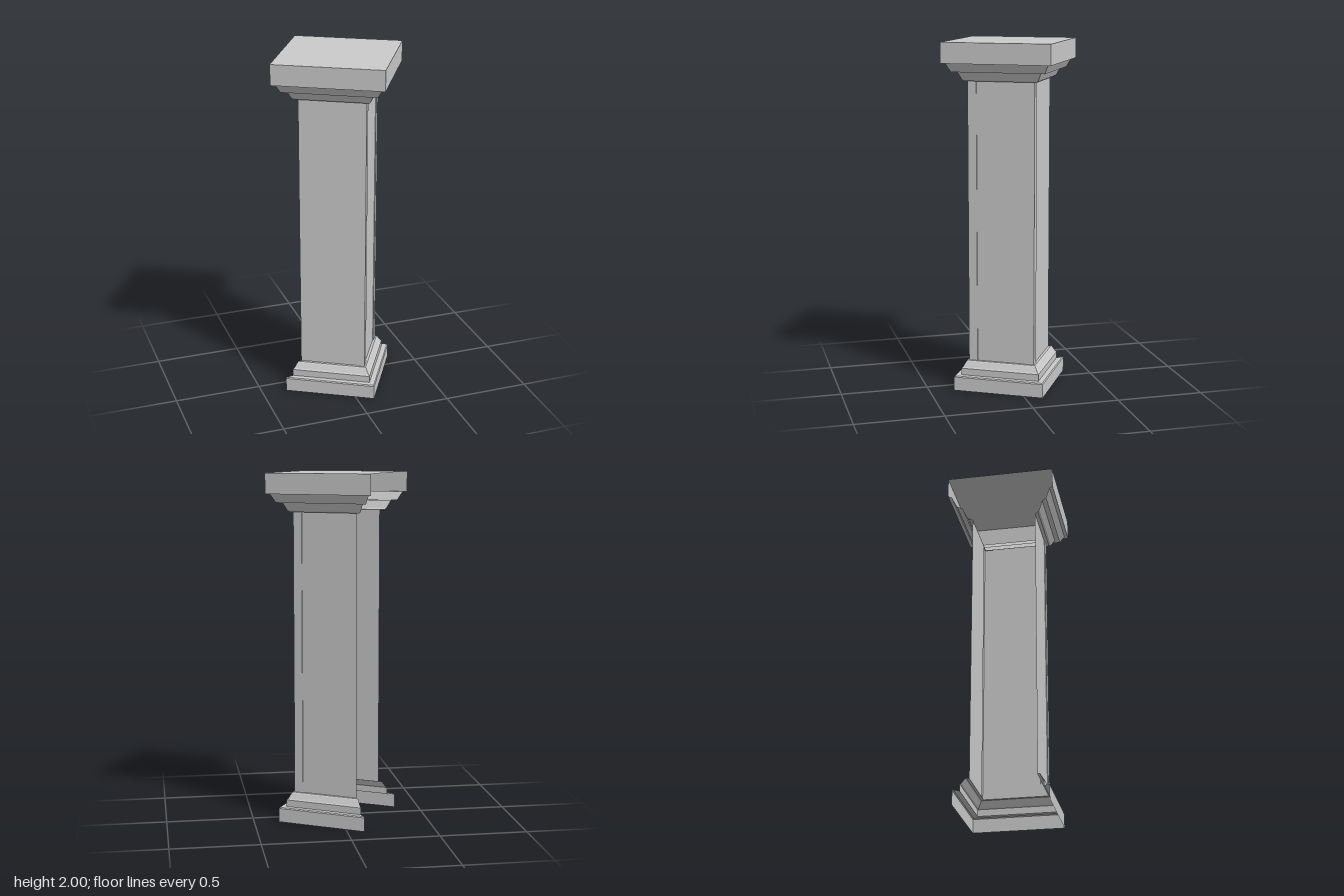
import * as THREE from 'three';

const material = new THREE.MeshStandardMaterial({ color: 0xcccccc, flatShading: true, side: THREE.DoubleSide });

// Skin a stack of open rings (each a list of [x, y, z]), bottom to top
function skin(name, rings) {
  const pos = [];
  for (let i = 0; i < rings.length - 1; i++) {
    for (let j = 0; j < rings[i].length - 1; j++) {
      const a = rings[i][j], b = rings[i][j + 1];
      const c = rings[i + 1][j + 1], d = rings[i + 1][j];
      pos.push(...a, ...b, ...c, ...a, ...c, ...d);
    }
  }
  const geometry = new THREE.BufferGeometry();
  geometry.setAttribute('position', new THREE.Float32BufferAttribute(pos, 3));
  geometry.computeVertexNormals();
  const mesh = new THREE.Mesh(geometry, material);
  mesh.name = name;
  return mesh;
}

// Mitred moulding round three sides; profile is [half width, height]
const moulding = (name, profile) => skin(name, profile.map(
  ([h, y]) => [[-h, y, h], [h, y, h], [h, y, -h], [-h, y, -h]]));

export function createModel() {
  const group = new THREE.Group();
  group.name = 'squareColumn';

  // Base
  group.add(moulding('plinth', [[0.263, 0], [0.263, 0.08], [0.258, 0.086], [0.229, 0.086]]));
  group.add(moulding('baseMoulding', [[0.229, 0.086], [0.229, 0.125], [0.222, 0.132], [0.206, 0.162], [0.201, 0.168], [0.186, 0.168]]));

  // Shaft: three panels with raised strips at the two closed corners
  const h = 0.187, p = 0.1925, w = 0.142;
  const half = [[-h, h], [w, h], [w, p], [p, p], [p, w], [h, w]];
  const plan = [...half, ...half.map(([x, z]) => [x, -z]).reverse()];
  group.add(skin('shaft', [0.168, 1.782].map(y => plan.map(([x, z]) => [x, y, z]))));

  // Capital
  group.add(moulding('capitalMoulding', [
    [0.186, 1.782], [0.207, 1.782], [0.217, 1.79], [0.235, 1.828], [0.238, 1.835],
    [0.266, 1.835], [0.27, 1.844], [0.286, 1.874], [0.291, 1.884]]));
  group.add(moulding('capitalSlab', [[0.291, 1.884], [0.311, 1.884], [0.311, 2]]));

  // Top face
  const top = new THREE.Mesh(new THREE.PlaneGeometry(0.622, 0.622), material);
  top.name = 'slabTop';
  top.rotation.x = -Math.PI / 2;
  top.position.y = 2;
  group.add(top);

  group.rotation.y = -Math.PI / 6;
  return group;
}
